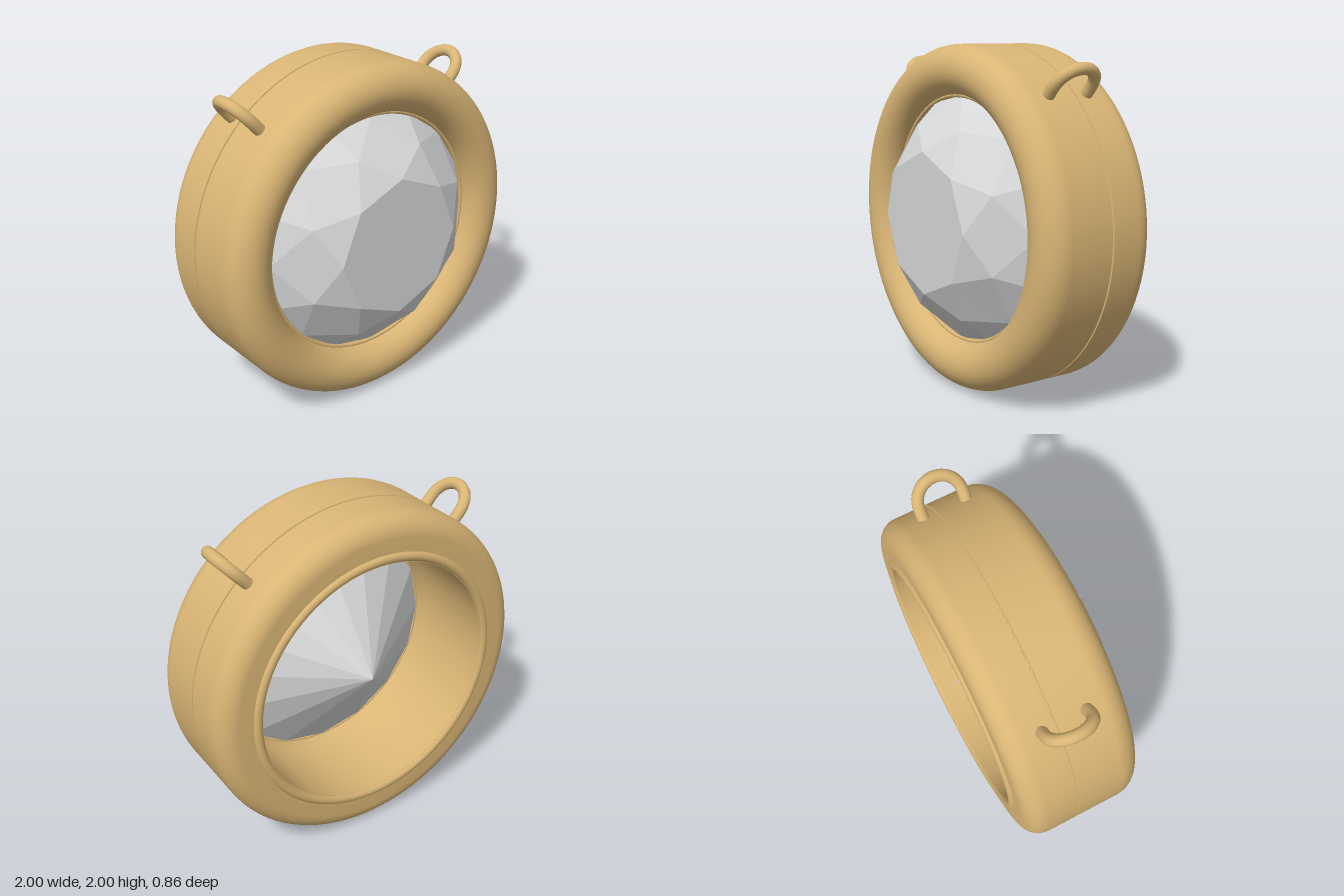
import * as THREE from 'three';
import { toCreasedNormals } from 'three/addons/utils/BufferGeometryUtils.js';

const gold = new THREE.MeshStandardMaterial({ color: 0xd9b575 });
gold.name = 'gold';
const crystal = new THREE.MeshStandardMaterial({ color: 0xd6d7d8 });
crystal.name = 'crystal';

function addMesh(parent, name, geometry, material) {
  const mesh = new THREE.Mesh(geometry, material);
  mesh.name = name;
  parent.add(mesh);
  return mesh;
}

// Points (radius, depth) along an elliptical arc, angles in degrees
function arc(cr, cz, rr, rz, from, to, steps) {
  return Array.from({ length: steps + 1 }, (_, i) => {
    const a = THREE.MathUtils.degToRad(from + ((to - from) * i) / steps);
    return new THREE.Vector2(cr + rr * Math.cos(a), cz + rz * Math.sin(a));
  });
}

// Hollow round casing with a thin seam groove round the outside
function casingGeometry() {
  const v = (r, z) => new THREE.Vector2(r, z);
  const profile = [
    v(0.74, -0.41),
    ...arc(0.88, -0.29, 0.12, 0.12, -90, 0, 10),
    v(1, -0.116), v(0.985, -0.113), v(0.985, -0.107), v(1, -0.104),
    ...arc(0.8575, 0.155, 0.1425, 0.145, 0, 180, 24),
    v(0.74, 0.11),
    v(0.74, -0.41),
  ];
  const geometry = new THREE.LatheGeometry(profile, 96);
  geometry.rotateX(Math.PI / 2);
  return toCreasedNormals(geometry, 0.6);
}

// Brilliant cut: octagonal table, star, kite and girdle facets, pointed back
function gemGeometry() {
  const ring = (radius, z, step, offset = 0) => (k) => {
    const a = THREE.MathUtils.degToRad(k * step + offset);
    return [radius * Math.cos(a), radius * Math.sin(a), z];
  };
  const table = ring(0.41, 0.43, 45);
  const middle = ring(0.575, 0.325, 45, 22.5);
  const girdle = ring(0.712, 0.167, 22.5);
  const centre = [0, 0, 0.43];
  const culet = [0, 0, -0.36];
  const positions = [];
  const face = (...corners) => corners.forEach((c) => positions.push(...c));

  for (let k = 0; k < 8; k++) {
    const g = 2 * k;
    face(centre, table(k), table(k + 1));
    face(table(k), middle(k), table(k + 1));
    face(table(k), middle(k - 1), girdle(g));
    face(table(k), girdle(g), middle(k));
    face(middle(k), girdle(g), girdle(g + 1));
    face(middle(k), girdle(g + 1), girdle(g + 2));
  }
  for (let j = 0; j < 16; j++) face(girdle(j + 1), girdle(j), culet);

  const geometry = new THREE.BufferGeometry();
  geometry.setAttribute('position', new THREE.Float32BufferAttribute(positions, 3));
  geometry.computeVertexNormals();
  return geometry;
}

// Strap loop: an arch standing out radially from the casing
function loopGeometry(side) {
  const angle = THREE.MathUtils.degToRad(48);
  const place = (r, z) =>
    new THREE.Vector3(side * r * Math.cos(angle), r * Math.sin(angle), z - 0.06);
  const points = [place(0.965, -0.128), place(1.01, -0.128)];
  for (let i = 0; i <= 10; i++) {
    const a = (Math.PI * i) / 10;
    points.push(place(1.06 + 0.128 * Math.sin(a), -0.128 * Math.cos(a)));
  }
  points.push(place(1.01, 0.128), place(0.965, 0.128));
  return new THREE.TubeGeometry(new THREE.CatmullRomCurve3(points), 48, 0.034, 14);
}

export function createModel() {
  const model = new THREE.Group();
  model.name = 'gemPendant';

  const body = new THREE.Group();
  body.name = 'pendantBody';
  body.position.y = 1;
  model.add(body);

  addMesh(body, 'casing', casingGeometry(), gold);
  addMesh(body, 'gem', gemGeometry(), crystal);

  // Thin bezel holding the gem, and raised rim round the open back
  const bezel = addMesh(body, 'bezel', new THREE.TorusGeometry(0.713, 0.012, 10, 96), gold);
  bezel.position.z = 0.176;
  const rim = addMesh(body, 'backRim', new THREE.TorusGeometry(0.77, 0.03, 14, 96), gold);
  rim.position.z = -0.398;

  addMesh(body, 'leftLoop', loopGeometry(1), gold);
  addMesh(body, 'rightLoop', loopGeometry(-1), gold);

  return model;
}
